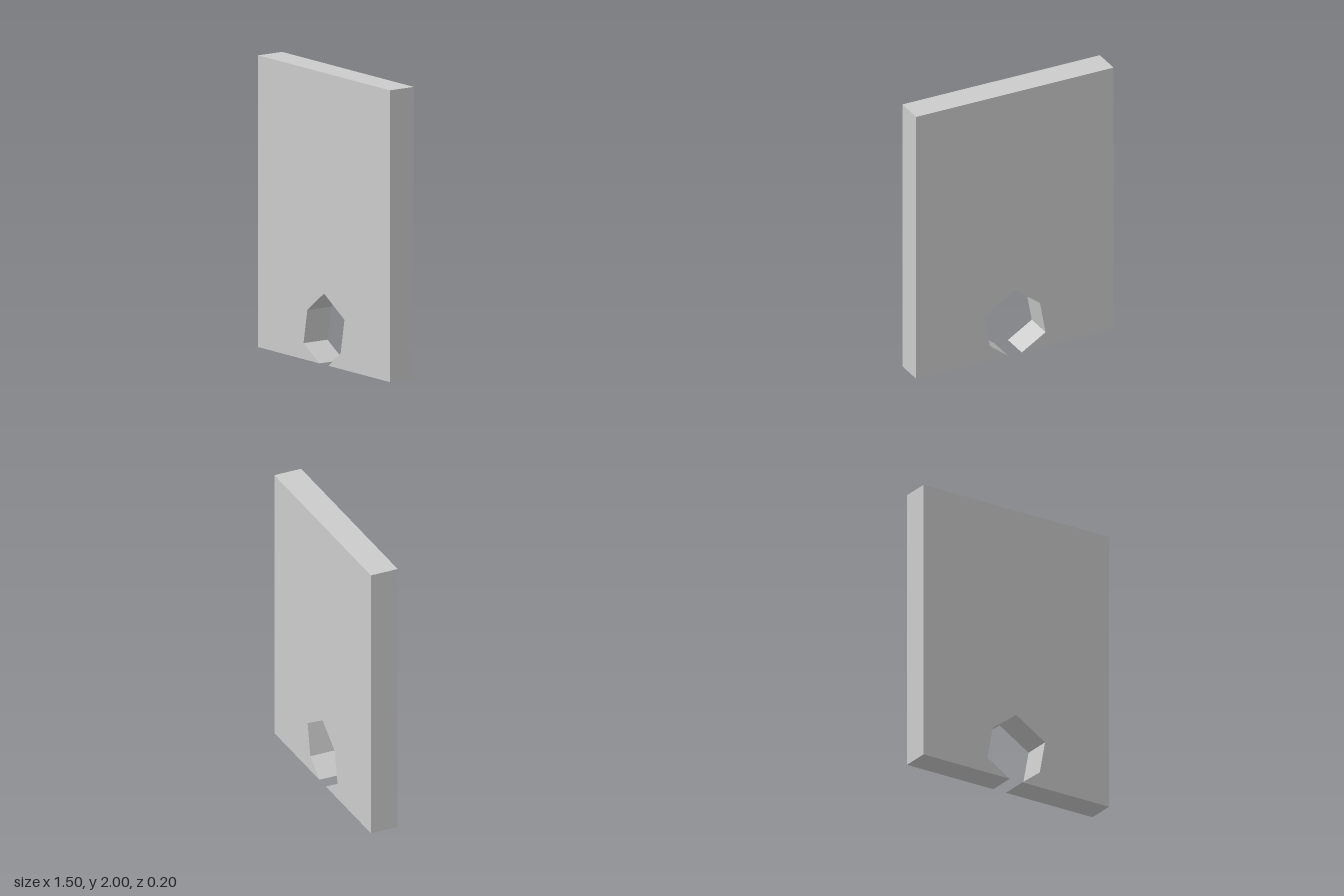
import * as THREE from 'three';

const WIDTH = 1.5, HEIGHT = 2, DEPTH = 0.2;

export function createModel() {
  const group = new THREE.Group();
  group.name = 'notchedPanel';

  // Upright panel outline, with a skewed hexagonal opening that breaks through the bottom edge
  const outline = [
    [WIDTH / 2, 0], [WIDTH / 2, HEIGHT], [-WIDTH / 2, HEIGHT], [-WIDTH / 2, 0],
    [-0.052, 0], [-0.233, 0.11], [-0.19, 0.344], [0, 0.487],
    [0.233, 0.344], [0.19, 0.11], [0.05, 0],
  ];
  const shape = new THREE.Shape(outline.map(([x, y]) => new THREE.Vector2(x, y)));
  const geometry = new THREE.ExtrudeGeometry(shape, { depth: DEPTH, bevelEnabled: false });
  geometry.translate(0, 0, -DEPTH / 2);

  const panel = new THREE.Mesh(
    geometry,
    new THREE.MeshStandardMaterial({ color: 0xcccccc, flatShading: true }),
  );
  panel.name = 'panel';
  group.add(panel);
  return group;
}
